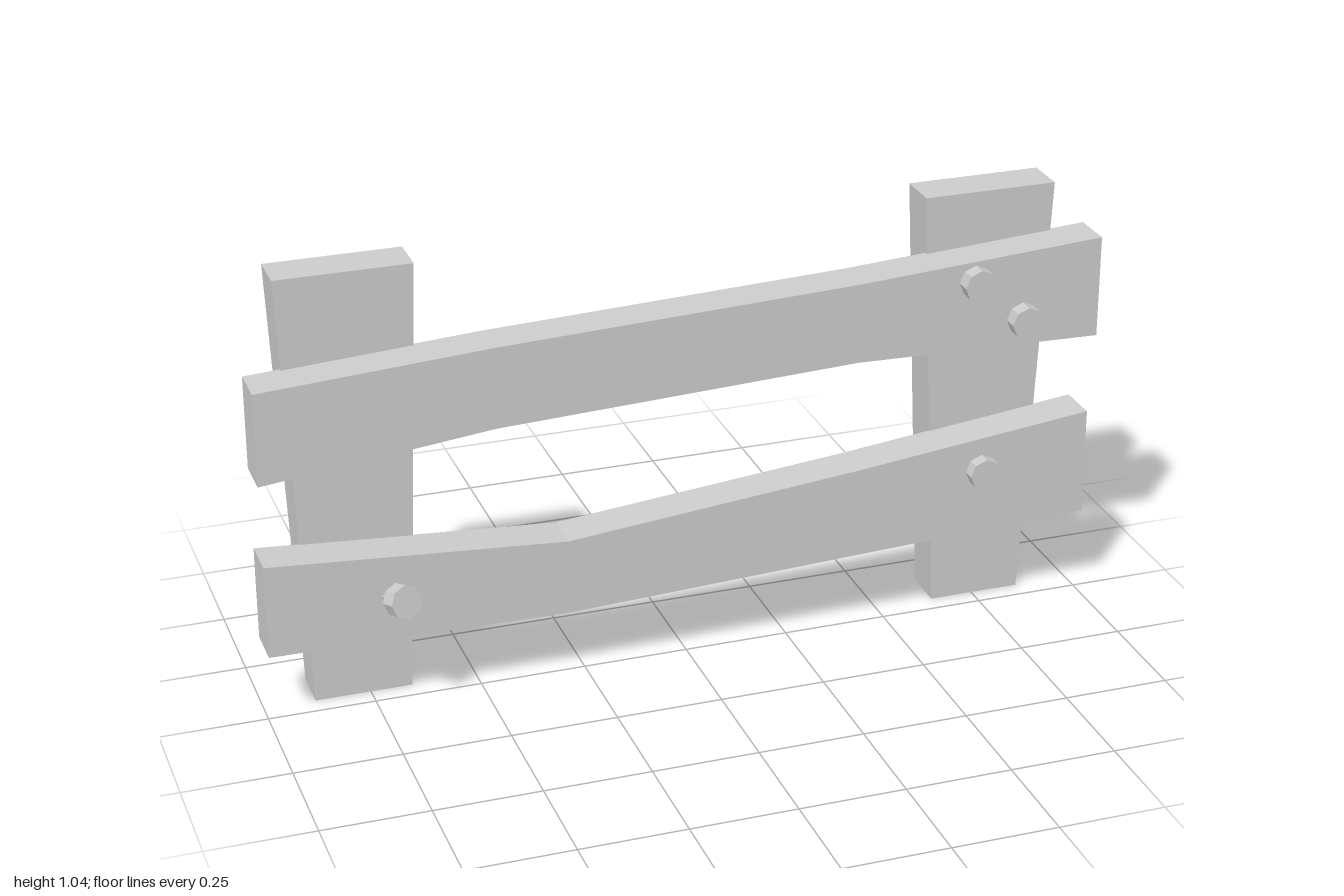
import * as THREE from 'three';

const material = new THREE.MeshStandardMaterial({ color: 0xcccccc, flatShading: true });

// A plank: outline in the front plane, extruded from zBack to zFront
function plank(name, outline, zBack, zFront) {
  const shape = new THREE.Shape(outline.map(([x, y]) => new THREE.Vector2(x, y)));
  const geometry = new THREE.ExtrudeGeometry(shape, { depth: zFront - zBack, bevelEnabled: false });
  geometry.translate(0, 0, zBack);
  const mesh = new THREE.Mesh(geometry, material);
  mesh.name = name;
  return mesh;
}

// A cylinder whose axis runs along +z, centred on z
function peg(name, radius, length, z) {
  const geometry = new THREE.CylinderGeometry(radius, radius, length, 8);
  geometry.rotateX(Math.PI / 2);
  geometry.translate(0, 0, z);
  const mesh = new THREE.Mesh(geometry, material);
  mesh.name = name;
  return mesh;
}

// A bolt with its shank entering the wood at the group's origin
function bolt(name, x, y, z, headZ) {
  const group = new THREE.Group();
  group.name = name;
  group.add(peg('boltHead', 0.039, 0.04, headZ));
  group.add(peg('boltShank', 0.009, headZ + 0.03, headZ / 2 - 0.015));
  group.position.set(x, y, z);
  return group;
}

export function createModel() {
  const fence = new THREE.Group();
  fence.name = 'fence';

  // Posts, wider at the top
  fence.add(plank('rightPost', [[-0.88, 0], [-0.652, 0], [-0.61, 1.043], [-0.925, 1.043]], -0.15, -0.047));
  fence.add(plank('leftPost', [[0.645, 0], [0.868, 0], [0.918, 1.043], [0.597, 1.043]], -0.15, -0.047));

  // Crooked rails
  fence.add(plank('upperRail', [
    [-1, 0.605], [-0.46, 0.664], [0.4, 0.7], [1, 0.685],
    [1, 0.931], [0.4, 0.893], [-0.46, 0.859], [-1, 0.826],
  ], -0.055, 0.047));
  fence.add(plank('lowerRail', [
    [-1, 0.185], [-0.3, 0.177], [0.4, 0.207], [0.985, 0.232],
    [0.985, 0.493], [0.4, 0.427], [-0.3, 0.36], [-1, 0.41],
  ], -0.05, 0.052));

  // Bolts driven home
  [[0.685, 0.863], [0.807, 0.755], [0.717, 0.381]].forEach(([x, y], i) => {
    fence.add(bolt('bolt' + (i + 1), x, y, 0.047, 0.016));
  });

  // Loose bolt, sticking out at an angle
  const loose = bolt('looseBolt', -0.727, 0.293, 0.05, 0.075);
  loose.quaternion.setFromUnitVectors(
    new THREE.Vector3(0, 0, 1), new THREE.Vector3(0.3, 0.27, 1).normalize());
  fence.add(loose);

  return fence;
}
